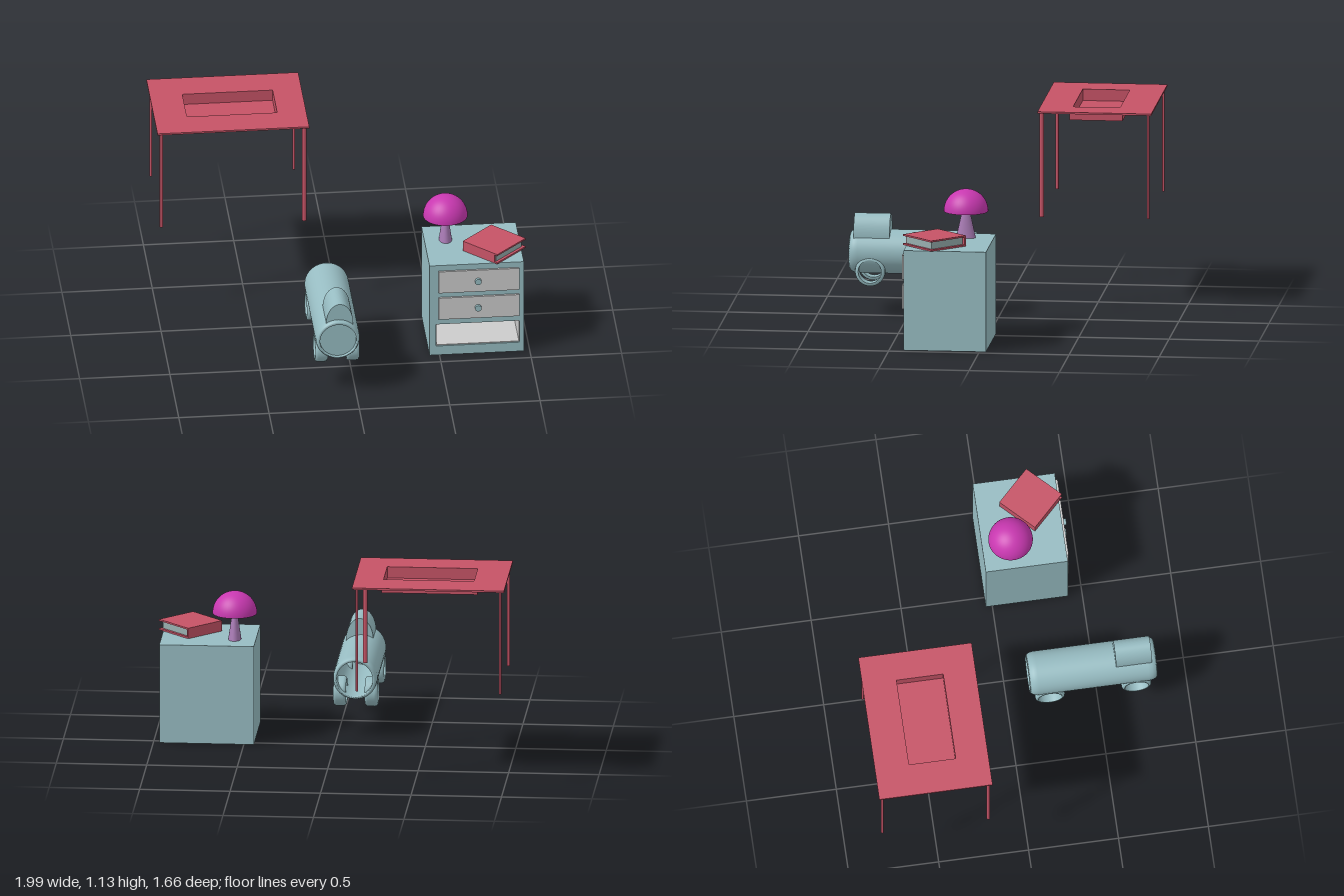
import * as THREE from 'three';

const paint = (color) => new THREE.MeshStandardMaterial({ color, side: THREE.DoubleSide });
const teal = paint(0x97bcc2), red = paint(0xc55366), magenta = paint(0xc838b0);
const purple = paint(0xa87ab4), paper = paint(0x97aeae), grey = paint(0xcccccc);

function add(parent, name, geometry, material, x = 0, y = 0, z = 0) {
  const mesh = new THREE.Mesh(geometry, material);
  mesh.name = name;
  mesh.position.set(x, y, z);
  parent.add(mesh);
  return mesh;
}

// Box given by its limits on each axis
function block(parent, name, material, [x0, x1], [y0, y1], [z0, z1]) {
  return add(parent, name, new THREE.BoxGeometry(x1 - x0, y1 - y0, z1 - z0), material,
    (x0 + x1) / 2, (y0 + y1) / 2, (z0 + z1) / 2);
}

// Rectangle outline with optional rounded corners
function rect(PathType, x0, x1, y0, y1, r = 0) {
  const p = new PathType();
  if (!r) {
    p.moveTo(x0, y0).lineTo(x1, y0).lineTo(x1, y1).lineTo(x0, y1).closePath();
    return p;
  }
  p.moveTo(x0 + r, y0).lineTo(x1 - r, y0).quadraticCurveTo(x1, y0, x1, y0 + r)
    .lineTo(x1, y1 - r).quadraticCurveTo(x1, y1, x1 - r, y1)
    .lineTo(x0 + r, y1).quadraticCurveTo(x0, y1, x0, y1 - r)
    .lineTo(x0, y0 + r).quadraticCurveTo(x0, y0, x0 + r, y0);
  return p;
}

// Rectangular plate with a rectangular hole
function frame(outer, hole, depth, r = 0) {
  const shape = rect(THREE.Shape, ...outer);
  shape.holes.push(rect(THREE.Path, ...hole, r));
  return new THREE.ExtrudeGeometry(shape, { depth, bevelEnabled: false });
}

const lathe = (points, segments) =>
  new THREE.LatheGeometry(points.map(([r, y]) => new THREE.Vector2(r, y)), segments);

function makeTable() {
  const table = new THREE.Group();
  table.name = 'table';
  const hole = [-0.82, -0.32, -0.64, -0.38];
  add(table, 'tableTop', frame([-1, -0.16, -0.83, -0.2], hole, 0.01).rotateX(Math.PI / 2), red, 0, 1.13, 0);
  add(table, 'trayWalls', frame([-0.84, -0.31, -0.655, -0.36], hole, 0.062).rotateX(Math.PI / 2), red, 0, 1.121, 0);
  block(table, 'trayFloor', red, [-0.84, -0.31], [1.057, 1.066], [-0.655, -0.36]);
  // One stouter leg and three thin ones
  const legs = [[-0.186, -0.221, 0.012], [-0.977, -0.221, 0.009], [-0.186, -0.81, 0.007], [-0.977, -0.81, 0.007]];
  for (const [x, z, r] of legs) {
    add(table, 'tableLeg', new THREE.CylinderGeometry(r, r, 0.59, 16), red, x, 0.83, z);
  }
  return table;
}

function makeCabinet() {
  const cabinet = new THREE.Group();
  cabinet.name = 'cabinet';
  add(cabinet, 'cabinetBody',
    frame([0.445, 0.967, 0, 0.56], [0.48, 0.943, 0.056, 0.192], 0.42, 0.008), teal);
  block(cabinet, 'cabinetBack', teal, [0.445, 0.967], [0, 0.56], [-0.036, 0]);
  // Lining of the open compartment
  block(cabinet, 'compartmentFloor', grey, [0.482, 0.941], [0.056, 0.06], [0, 0.412]);
  for (const x of [0.48, 0.94]) {
    block(cabinet, 'compartmentSide', grey, [x, x + 0.003], [0.06, 0.188], [0, 0.412]);
  }
  for (const y of [0.294, 0.459]) {
    block(cabinet, 'drawerFront', grey, [0.495, 0.941], [y - 0.067, y + 0.067], [0.415, 0.432]);
    add(cabinet, 'drawerKnob', new THREE.CylinderGeometry(0.018, 0.018, 0.02, 24).rotateX(Math.PI / 2),
      teal, 0.713, y, 0.438);
  }
  return cabinet;
}

function makeLamp() {
  const lamp = new THREE.Group();
  lamp.name = 'lamp';
  lamp.position.set(0.562, 0.56, 0.118);
  add(lamp, 'lampStand', new THREE.CylinderGeometry(0.013, 0.036, 0.16, 32).scale(1, 1, 1.5), purple, 0, 0.08, 0);
  add(lamp, 'lampShade', new THREE.SphereGeometry(0.123, 40, 20, 0, Math.PI * 2, 0, Math.PI / 2), magenta, 0, 0.149, 0);
  return lamp;
}

function makeBook() {
  const book = new THREE.Group();
  book.name = 'book';
  book.position.set(0.818, 0.56, 0.265);
  book.rotation.y = Math.PI / 4;
  const h = 0.123;
  for (const y of [0.002, 0.053]) block(book, 'bookCover', red, [-h, h], [y, y + 0.009], [-h, h]);
  block(book, 'bookSpine', red, [-h, h], [0.005, 0.06], [-h, -h + 0.01]);
  block(book, 'bookBackEdge', red, [-h, -h + 0.01], [0.005, 0.06], [-h, h - 0.02]);
  block(book, 'bookPages', paper, [-h + 0.01, h - 0.016], [0.011, 0.053], [-h + 0.01, h - 0.016]);
  return book;
}

function makeEngine() {
  const engine = new THREE.Group();
  engine.name = 'engine';
  engine.position.set(-0.1, 0.341, 0);
  // Hollow barrel: open at the back, closed by a sunken disc at the front
  const barrel = [[0.1, 0.79], [0.1, 0.145], [0.1, 0.12], [0.112, 0.13], [0.12, 0.148], [0.122, 0.17],
    [0.122, 0.78], [0.12, 0.802], [0.112, 0.82], [0.101, 0.83], [0.1, 0.812]];
  add(engine, 'barrel', lathe(barrel, 56).rotateX(Math.PI / 2), teal);
  add(engine, 'frontDisc', new THREE.CylinderGeometry(0.101, 0.101, 0.022, 56).rotateX(Math.PI / 2),
    teal, 0, 0, 0.801);
  // Domed cab on top
  const dome = new THREE.Shape();
  dome.moveTo(0.075, 0.07).lineTo(0.075, 0.094);
  dome.absellipse(0, 0.094, 0.075, 0.12, 0, Math.PI, false);
  dome.lineTo(-0.075, 0.07);
  add(engine, 'cab', new THREE.ExtrudeGeometry(dome, { depth: 0.2, bevelEnabled: false, curveSegments: 28 }),
    teal, 0.01, 0, 0.604);
  // Ring wheels with rounded edges
  const band = [[0.064, -0.035], [0.072, -0.035], [0.08, -0.029], [0.083, -0.018], [0.083, 0.018],
    [0.08, 0.029], [0.072, 0.035], [0.064, 0.035], [0.064, -0.035]];
  for (const x of [-0.087, 0.087]) {
    for (const z of [0.23, 0.71]) {
      add(engine, 'wheel', lathe(band, 40).rotateZ(Math.PI / 2), teal, x, -0.095, z);
    }
  }
  return engine;
}

export function createModel() {
  const model = new THREE.Group();
  model.name = 'playroomSet';
  model.add(makeTable(), makeCabinet(), makeLamp(), makeBook(), makeEngine());
  return model;
}
